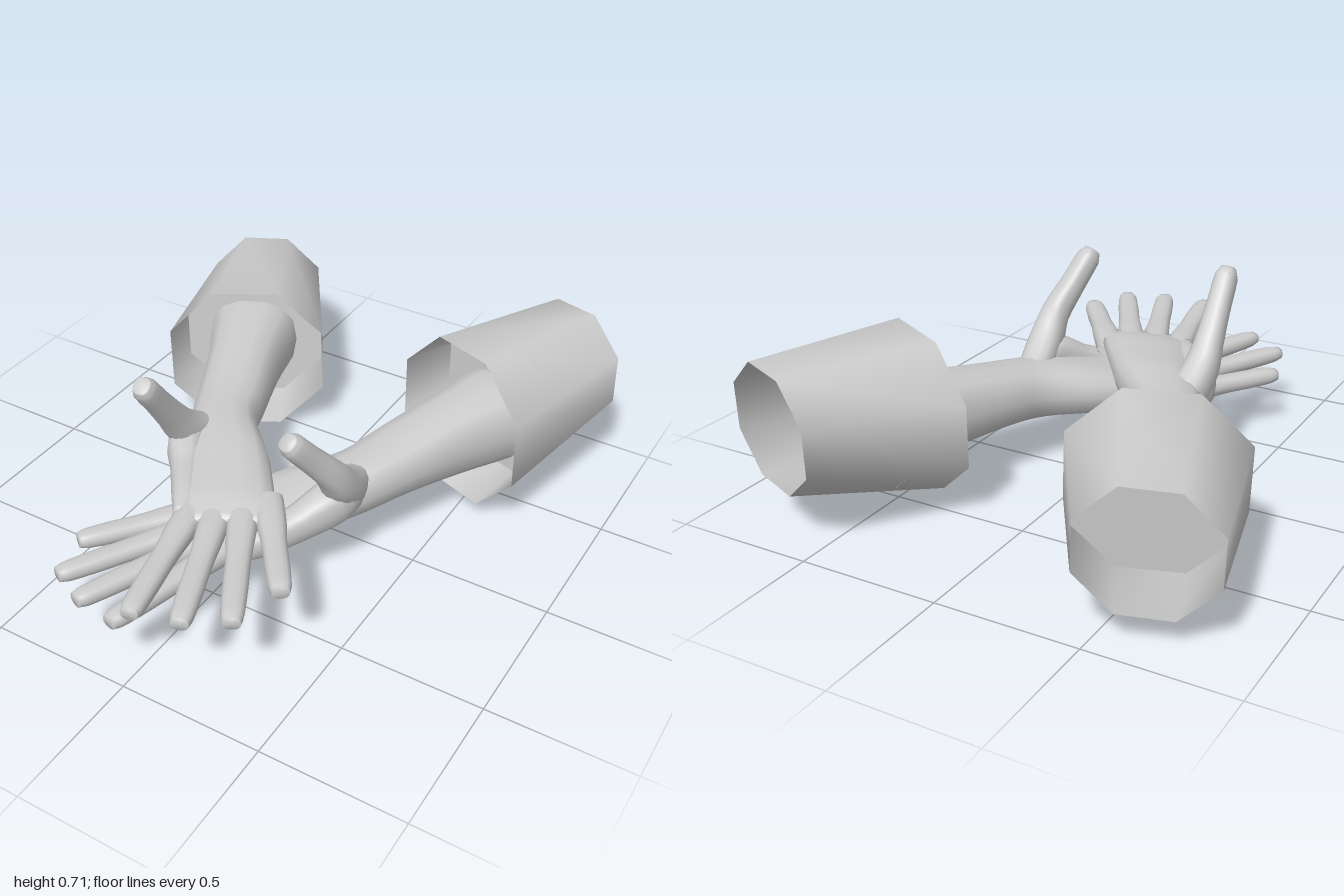
import * as THREE from 'three';

const V = (x, y, z) => new THREE.Vector3(x, y, z);
const { lerp, smoothstep } = THREE.MathUtils;
const material = new THREE.MeshStandardMaterial({ color: 0xcccccc, side: THREE.DoubleSide });

// Skin a list of closed rings; m = -1 mirrors it across x
function loft(name, rings, m, capEnd) {
  const n = rings[0].length, pos = [], idx = [];
  const tri = (a, b, c) => (m > 0 ? idx.push(a, b, c) : idx.push(a, c, b));
  rings.forEach((r) => r.forEach((p) => pos.push(p.x * m, p.y, p.z)));
  for (let i = 0; i < rings.length - 1; i++) {
    for (let k = 0; k < n; k++) {
      const a = i * n + k, b = i * n + (k + 1) % n;
      tri(a, b, a + n);
      tri(b, b + n, a + n);
    }
  }
  if (capEnd) {
    const c = rings[rings.length - 1].reduce((s, p) => s.add(p), V(0, 0, 0)).divideScalar(n);
    const o = (rings.length - 1) * n;
    pos.push(c.x * m, c.y, c.z);
    for (let k = 0; k < n; k++) tri(o + k, o + (k + 1) % n, o + n);
  }
  const g = new THREE.BufferGeometry();
  g.setAttribute('position', new THREE.Float32BufferAttribute(pos, 3));
  g.setIndex(idx);
  g.computeVertexNormals();
  const mesh = new THREE.Mesh(g, material);
  mesh.name = name;
  return mesh;
}

// Ring about a centre; a power below 1 squares it off
function ring(c, side, up, sides = 14, power = 0.8, phase = 0) {
  const f = (v) => Math.sign(v) * Math.pow(Math.abs(v), power);
  return Array.from({ length: sides }, (_, k) => {
    const t = phase + (k / sides) * Math.PI * 2;
    return c.clone().addScaledVector(side, f(Math.cos(t))).addScaledVector(up, f(Math.sin(t)));
  });
}

// Tapering, blunt-tipped digit; flat = thickness relative to width
function digit(name, points, radii, flat, m) {
  const path = new THREE.CatmullRomCurve3(points);
  const radius = new THREE.SplineCurve(radii.map((r, i) => new THREE.Vector2(i, r)));
  const rings = [];
  for (let i = 0; i <= 18; i++) {
    const t = i / 18, dir = path.getTangent(t), r = radius.getPoint(t).y;
    const side = V(0, 1, 0).cross(dir).normalize();
    const up = dir.clone().cross(side);
    rings.push(ring(path.getPoint(t), side.multiplyScalar(r), up.multiplyScalar(r * flat)));
  }
  return loft(name, rings, m, true);
}

// Forearm to knuckles in plan: thumb edge x, z, little-finger edge x, z, thickness
const PLAN = [
  [-0.67, -0.50, -0.36, -0.64, 0.32],
  [-0.56, -0.31, -0.31, -0.44, 0.28],
  [-0.46, -0.10, -0.22, -0.19, 0.22],
  [-0.375, 0.08, -0.16, -0.04, 0.195],
  [-0.31, 0.20, -0.02, 0.11, 0.175],
  [-0.23, 0.33, 0.08, 0.24, 0.14],
  [-0.15, 0.47, 0.165, 0.36, 0.11],
  [-0.09, 0.575, 0.20, 0.445, 0.06],
];

// Fingertips in plan
const FINGERTIPS = {
  index: [0.04, 0.99],
  middle: [0.20, 0.955],
  ring: [0.335, 0.88],
  little: [0.395, 0.70],
};

// Both arms are described on the -x side; the lower one is then mirrored
const ARMS = [
  {
    name: 'upper', m: 1, armY: 0.29, indexY: 0.318, littleY: 0.345, thumbX: -0.305, thumbY: 0.695,
    cuffX: -0.445, cuffY: 0.29, cuffBackY: 0.31, cuffRoll: 0.45,
  },
  {
    name: 'lower', m: -1, armY: 0.295, indexY: 0.245, littleY: 0.202, thumbX: -0.245, thumbY: 0.68,
    cuffX: -0.45, cuffY: 0.33, cuffBackY: 0.39, cuffRoll: 0.33,
  },
];

function buildArm(a) {
  const arm = new THREE.Group();
  arm.name = a.name + 'Arm';

  // Forearm and palm, tilting from the wrist towards the knuckles
  const edge = (x, z, y) => new THREE.CatmullRomCurve3(PLAN.map((p, i) =>
    V(p[x], lerp(a.armY, y, smoothstep(i / 7, 0.1, 0.95)), p[z])), false, 'catmullrom');
  const L = edge(0, 1, a.indexY), R = edge(2, 3, a.littleY);
  const thickness = new THREE.SplineCurve(PLAN.map((p, i) => new THREE.Vector2(i, p[4])));
  const rings = [];
  for (let i = 0; i <= 28; i++) {
    const t = i / 28, l = L.getPoint(t), r = R.getPoint(t);
    const centre = l.clone().lerp(r, 0.5);
    rings.push(ring(centre, r.sub(l).multiplyScalar(0.5), V(0, thickness.getPoint(t).y / 2, 0)));
  }
  arm.add(loft('forearmAndPalm', rings, a.m, true));

  // Fingers fan out from a line across the knuckles, broad where they leave the palm
  Object.entries(FINGERTIPS).forEach(([name, [x, z]], i) => {
    const s = i / 3, y = lerp(a.indexY, a.littleY, s) + 0.005;
    const base = V(lerp(-0.085, 0.125, s), y - 0.005, lerp(0.45, 0.34, s)), tip = V(x, y, z);
    const points = [0, 0.25, 0.5, 0.75, 0.94, 1].map((t) => base.clone().lerp(tip, t));
    arm.add(digit(name + 'Finger', points, [0.05, 0.049, 0.041, 0.04, 0.036, 0.028], 0.78, a.m));
  });

  // Raised thumb growing out of the wrist
  const root = V(-0.312, 0.47, 0.253), tip = V(a.thumbX, a.thumbY, 0.42);
  const thumb = [V(-0.275, 0.29, 0.0), V(-0.3, 0.33, 0.11), V(-0.312, 0.395, 0.195), root,
    root.clone().lerp(tip, 0.45), root.clone().lerp(tip, 0.88), tip];
  arm.add(digit('thumb', thumb, [0.05, 0.062, 0.06, 0.05, 0.043, 0.04, 0.028], 1.05, a.m));

  // Fleshy web from the thumb to the index finger
  const web = [V(-0.3, 0.3, 0.09), V(-0.295, 0.325, 0.2), V(-0.225, lerp(0.31, a.indexY, 0.5), 0.31),
    V(-0.14, a.indexY, 0.44), V(-0.09, a.indexY, 0.53)];
  arm.add(digit('thumbWeb', web, [0.055, 0.068, 0.055, 0.045, 0.03], 1.15, a.m));

  // Eight-sided cuff, open at both ends, closed round the forearm part-way in
  const front = ring(V(a.cuffX, a.cuffY, -0.41), V(0.29, 0, -0.13), V(0, 0.303, -0.02), 8, 1, a.cuffRoll);
  const back = ring(V(-0.667, a.cuffBackY, -0.918), V(0.217, 0, -0.08), V(0, 0.225, -0.015), 8, 1, a.cuffRoll);
  const inside = front.map((p, i) => p.clone().lerp(back[i], 0.35));
  arm.add(loft('sleeve', [back, front], a.m, false));
  arm.add(loft('sleeveInnerWall', [inside], a.m, true));
  return arm;
}

export function createModel() {
  const model = new THREE.Group();
  model.name = 'crossedHands';
  ARMS.forEach((a) => model.add(buildArm(a)));
  return model;
}
